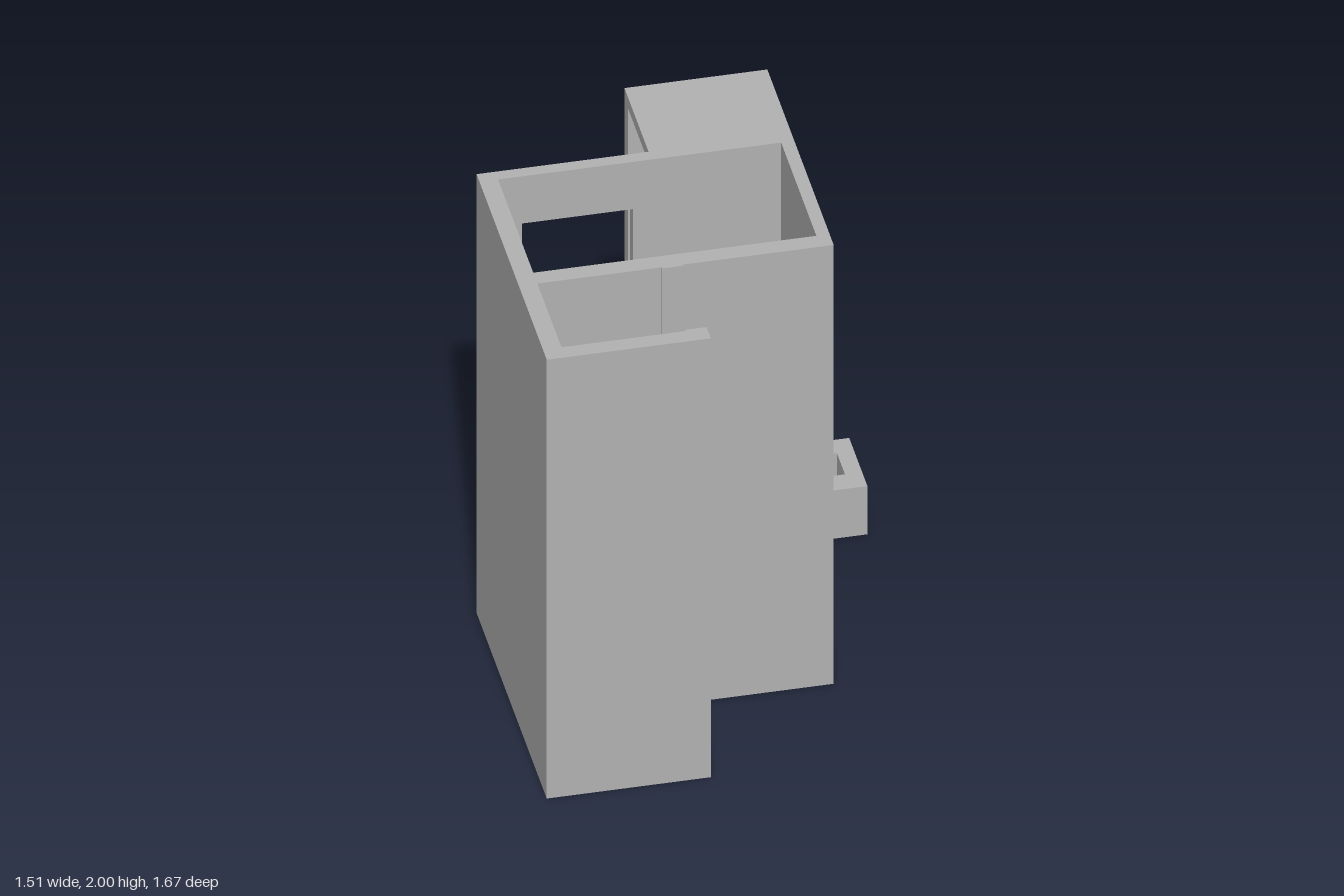
import * as THREE from 'three';

const grey = new THREE.MeshStandardMaterial({ color: 0xb2b2b2 });
grey.name = 'plain grey';

const rect = (x0, y0, x1, y1) => [[x0, y0], [x1, y0], [x1, y1], [x0, y1]];

// Extrude a point outline, with an optional hole, along +z
function extrude(points, depth, hole) {
  const toVectors = (list) => list.map(([a, b]) => new THREE.Vector2(a, b));
  const shape = new THREE.Shape(toVectors(points));
  if (hole) shape.holes.push(new THREE.Path(toVectors(hole)));
  return new THREE.ExtrudeGeometry(shape, { depth, bevelEnabled: false });
}

// Raise an (x, z) floor plan to the given height
function raise(plan, height, hole) {
  const flip = (list) => list && list.map(([x, z]) => [x, -z]);
  return extrude(flip(plan), height, flip(hole)).rotateX(-Math.PI / 2);
}

export function createModel() {
  const group = new THREE.Group();
  const add = (name, geometry) => {
    const mesh = new THREE.Mesh(geometry, grey);
    mesh.name = name;
    group.add(mesh);
  };

  // Front and side walls, with the open front channel and its closing ridges
  add('wallsAndFrontChannel', raise([
    [-0.76, -0.31], [-0.76, 0.835], [-0.14, 0.835], [-0.14, 0.762],
    [-0.22, 0.762], [-0.22, 0.77], [-0.69, 0.77], [-0.69, 0.36],
    [-0.22, 0.36], [-0.22, 0.367], [-0.14, 0.367], [-0.14, 0.36],
    [0.43, 0.36], [0.43, -0.77], [0.38, -0.77], [0.38, 0.29],
    [-0.69, 0.29], [-0.69, -0.31],
  ], 2));

  // Back wall with its tall window
  add('backWall', extrude(rect(-0.76, 0, 0.38, 2), 0.05,
    rect(-0.6, 0.265, -0.18, 1.785)).translate(0, 0, -0.36));

  // Ledge around the open floor of the main compartment
  add('floorLedge', raise(rect(-0.69, -0.31, 0.38, 0.29), 0.06,
    rect(-0.6, -0.22, 0.29, 0.2)));

  // Rear compartment: roof, back and floor, open on one side
  add('rearCompartment', extrude([
    [-0.36, 0], [-0.77, 0], [-0.77, 2], [-0.36, 2],
    [-0.36, 1.95], [-0.71, 1.95], [-0.71, 0.05], [-0.36, 0.05],
  ], 0.49).rotateY(-Math.PI / 2).translate(0.38, 0, 0));

  // Low hook on the side
  add('sideHook', raise([
    [0.43, -0.53], [0.755, -0.53], [0.755, -0.84], [0.575, -0.84],
    [0.575, -0.755], [0.69, -0.755], [0.69, -0.62], [0.43, -0.62],
  ], 0.22));

  return group;
}
